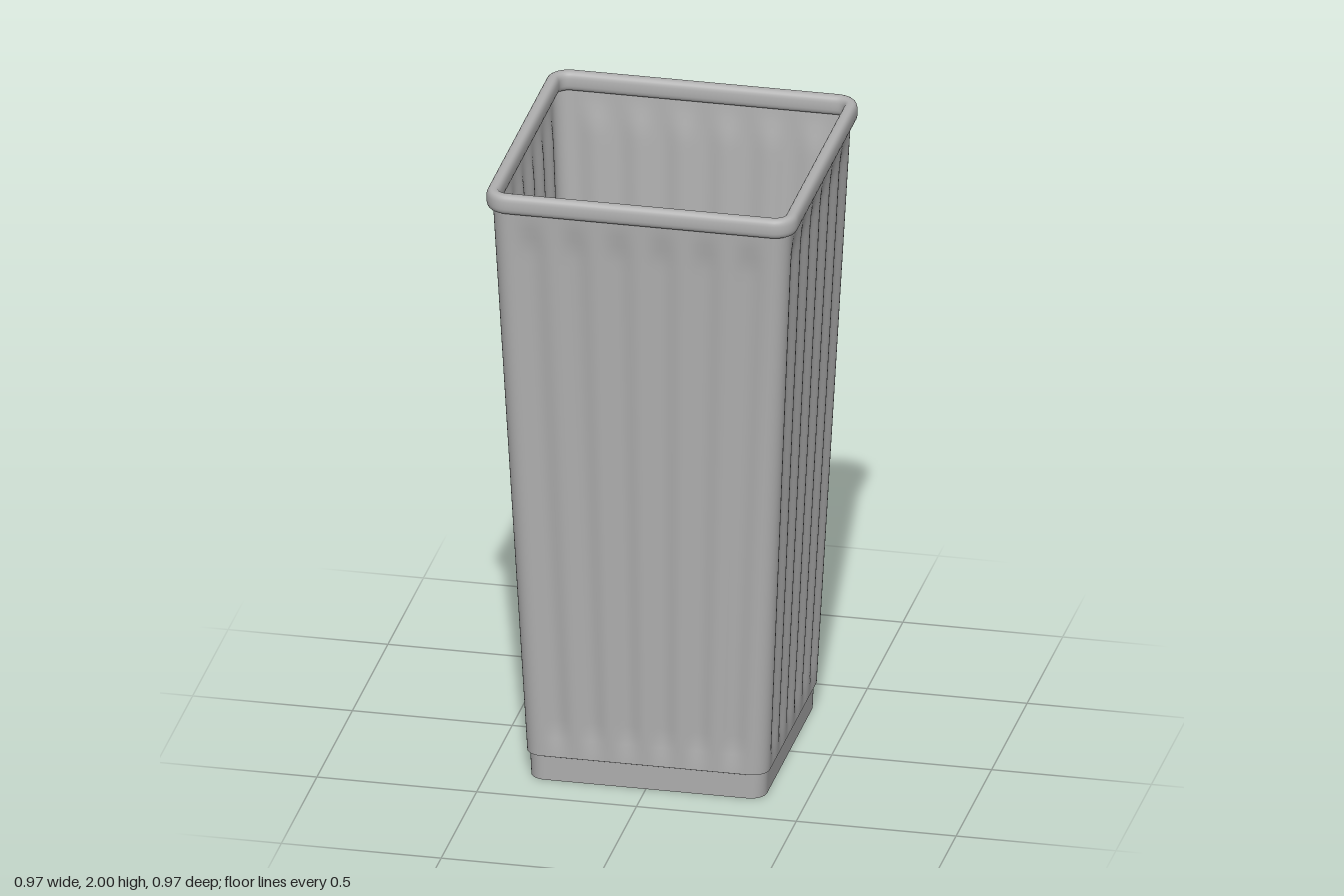
import * as THREE from 'three';

const SIDE = 72;   // straight samples per side
const ARC = 8;     // samples per rounded corner
const { smoothstep } = THREE.MathUtils;

// Rounded-square ring: half width h, corner radius r, height y, flute depth d
function ring({ h, r, y, d = 0 }) {
  const s = h - r, side = [], points = [];
  for (let i = 0; i <= SIDE; i++) {
    const t = i / SIDE * 2 - 1;
    // six inward flutes per side
    side.push([t * s, h - d * (1 - Math.cos(t * Math.PI * 6)) / 2]);
  }
  for (let i = 1; i < ARC; i++) {
    const a = i / ARC * Math.PI / 2;
    side.push([s + r * Math.sin(a), s + r * Math.cos(a)]);
  }
  for (let k = 0; k < 4; k++) {
    for (const [px, pz] of side) {
      let x = px, z = pz;
      for (let n = 0; n < k; n++) [x, z] = [z, -x];
      points.push(x, y, z);
    }
  }
  return points;
}

// Skin a list of rings; closed joins the last ring to the first
function loft(name, sections, material, closed = false) {
  const n = 4 * (SIDE + ARC), count = sections.length;
  const index = [];
  for (let j = 0; j < (closed ? count : count - 1); j++) {
    const lo = j * n, hi = ((j + 1) % count) * n;
    for (let i = 0; i < n; i++) {
      const k = (i + 1) % n;
      index.push(lo + i, lo + k, hi + k, lo + i, hi + k, hi + i);
    }
  }
  const geometry = new THREE.BufferGeometry();
  geometry.setAttribute('position', new THREE.Float32BufferAttribute(sections.flatMap(ring), 3));
  geometry.setIndex(index);
  geometry.computeVertexNormals();
  const mesh = new THREE.Mesh(geometry, material);
  mesh.name = name;
  return mesh;
}

export function createModel() {
  const group = new THREE.Group();
  group.name = 'wasteBin';
  const grey = new THREE.MeshStandardMaterial({ color: 0xb0b0b0, side: THREE.DoubleSide });
  grey.name = 'grey plastic';

  // Plain foot band, open underneath, and the small step above it
  group.add(loft('footBand', [{ h: 0.368, r: 0.05, y: 0 }, { h: 0.371, r: 0.05, y: 0.08 }], grey));
  group.add(loft('footStep', [{ h: 0.371, r: 0.05, y: 0.08 }, { h: 0.379, r: 0.053, y: 0.084 }], grey));

  // Tapered wall, its flutes fading out at both ends
  const wall = [];
  const y0 = 0.084, y1 = 1.95;
  for (let j = 0; j <= 60; j++) {
    const t = j / 60, y = y0 + (y1 - y0) * t;
    const fade = smoothstep(y, y0, 0.19) * (1 - smoothstep(y, 1.8, 1.94));
    wall.push({ h: 0.379 + 0.088 * t, r: 0.053, y, d: 0.012 * fade });
  }
  group.add(loft('flutedWall', wall, grey));

  // Rolled rim
  const rim = [];
  const round = (v) => Math.sign(v) * Math.abs(v) ** 0.75;
  for (let j = 0; j < 24; j++) {
    const a = j / 24 * Math.PI * 2;
    const h = 0.466 + 0.021 * round(Math.cos(a));
    rim.push({ h, r: h - 0.415, y: 1.968 + 0.032 * round(Math.sin(a)) });
  }
  group.add(loft('rim', rim, grey, true));

  return group;
}
